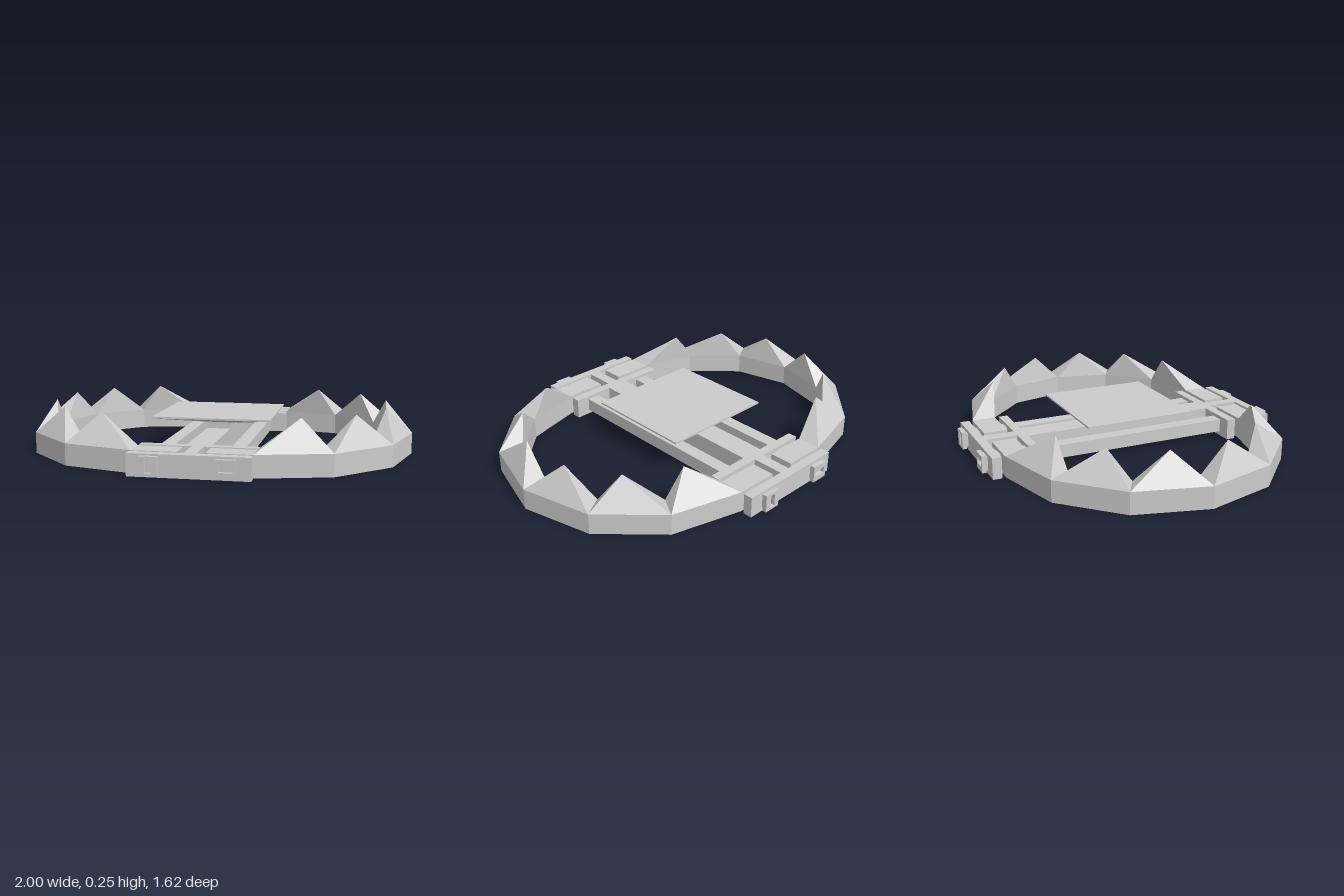
import * as THREE from 'three';

const material = new THREE.MeshStandardMaterial({ color: 0xcccccc, flatShading: true });
const H = 0.108; // height of frame and jaws

function add(parent, name, geometry) {
  const mesh = new THREE.Mesh(geometry, material);
  mesh.name = name;
  parent.add(mesh);
  return mesh;
}

// Box given by its min and max on each axis
function box(parent, name, [x0, x1], [y0, y1], [z0, z1]) {
  const mesh = add(parent, name, new THREE.BoxGeometry(x1 - x0, y1 - y0, z1 - z0));
  mesh.position.set((x0 + x1) / 2, (y0 + y1) / 2, (z0 + z1) / 2);
  return mesh;
}

// Faceted curved bar with a pyramid tooth on each curved segment
function jawGeometry() {
  // [outer x, outer z, inner x, inner z] for the front half, mirrored to the back
  const half = [
    [0.067, 0.712, 0.067, 0.59], [0.285, 0.712, 0.285, 0.59],
    [0.64, 0.617, 0.58, 0.512], [0.902, 0.358, 0.80, 0.297],
  ];
  const stations = [
    ...half, [1, 0, 0.875, 0],
    ...half.slice().reverse().map(([a, b, c, d]) => [a, -b, c, -d]),
  ];
  const tips = [[0.48, 0.53], [0.725, 0.388], [0.864, 0.147]];
  const apexes = [...tips, ...tips.slice().reverse().map(([x, z]) => [x, -z])];
  const out = [];
  const tri = (...p) => p.forEach((v) => out.push(...v));
  const quad = (a, b, c, d) => { tri(a, b, c); tri(a, c, d); };
  const outer = (s, y) => [s[0], y, s[1]];
  const inner = (s, y) => [s[2], y, s[3]];

  for (let i = 0; i < stations.length - 1; i++) {
    const a = stations[i], b = stations[i + 1];
    quad(outer(a, 0), outer(b, 0), outer(b, H), outer(a, H));
    quad(inner(b, 0), inner(a, 0), inner(a, H), inner(b, H));
    quad(inner(a, 0), inner(b, 0), outer(b, 0), outer(a, 0));
    const top = [outer(a, H), outer(b, H), inner(b, H), inner(a, H)];
    const apex = apexes[i - 1];
    if (apex) top.forEach((p, k) => tri(p, top[(k + 1) % 4], [apex[0], 0.253, apex[1]]));
    else quad(...top);
  }
  const s = stations[0], e = stations[stations.length - 1];
  quad(inner(s, 0), outer(s, 0), outer(s, H), inner(s, H));
  quad(outer(e, 0), inner(e, 0), inner(e, H), outer(e, H));

  const g = new THREE.BufferGeometry();
  g.setAttribute('position', new THREE.Float32BufferAttribute(out, 3));
  g.computeVertexNormals();
  return g;
}

// Square head with a rectangular slot
function boltHeadGeometry() {
  const rect = (Type, w, h) => new Type([
    new THREE.Vector2(-w, -h), new THREE.Vector2(w, -h),
    new THREE.Vector2(w, h), new THREE.Vector2(-w, h),
  ]);
  const shape = rect(THREE.Shape, 0.045, 0.043);
  shape.holes.push(rect(THREE.Path, 0.032, 0.015));
  return new THREE.ExtrudeGeometry(shape, { depth: 0.022, bevelEnabled: false });
}

// Inverted square pyramid dish with a thin rim
function panGeometry() {
  const g = new THREE.BoxGeometry(0.606, 0.045, 0.576);
  const p = g.attributes.position;
  for (let i = 0; i < p.count; i++) {
    if (p.getY(i) < 0) {
      p.setX(i, Math.sign(p.getX(i)) * 0.07);
      p.setZ(i, Math.sign(p.getZ(i)) * 0.065);
    }
  }
  g.computeVertexNormals();
  return g;
}

export function createModel() {
  const model = new THREE.Group();
  model.name = 'jawTrap';
  const jaw = jawGeometry(), head = boltHeadGeometry();

  // Central beam and pressure pan
  box(model, 'centralBeam', [-0.062, 0.062], [0, H], [-0.53, 0.53]);
  box(model, 'panPedestal', [-0.065, 0.065], [H, 0.145], [-0.062, 0.062]);
  add(model, 'panDish', panGeometry()).position.set(0, 0.1645, -0.003);
  box(model, 'panPlate', [-0.303, 0.303], [0.187, 0.196], [-0.291, 0.285]);

  // Each half repeats after a half turn
  for (let k = 0; k < 2; k++) {
    const half = new THREE.Group();
    half.name = k ? 'backAssembly' : 'frontAssembly';
    half.rotation.y = k * Math.PI;
    model.add(half);

    add(half, 'jaw', jaw);
    box(half, 'outerHingePlate', [-0.287, 0.287], [0, H], [0.73, 0.777]);
    box(half, 'innerHingePlate', [-0.287, 0.287], [0, H], [0.52, 0.567]);
    box(half, 'hingeWeb', [-0.03, 0.03], [0, H], [0.567, 0.73]);
    box(half, 'hingeRod', [0.142, 0.212], [0.022, 0.09], [-0.79, 0.79]);

    // Slots are horizontal on one side, vertical on the other
    for (const side of [-1, 1]) {
      const bolt = add(half, 'boltHead', head);
      bolt.position.set(side * 0.177, 0.057, 0.788);
      if (side < 0) bolt.rotation.z = Math.PI / 2;
    }
  }
  return model;
}
